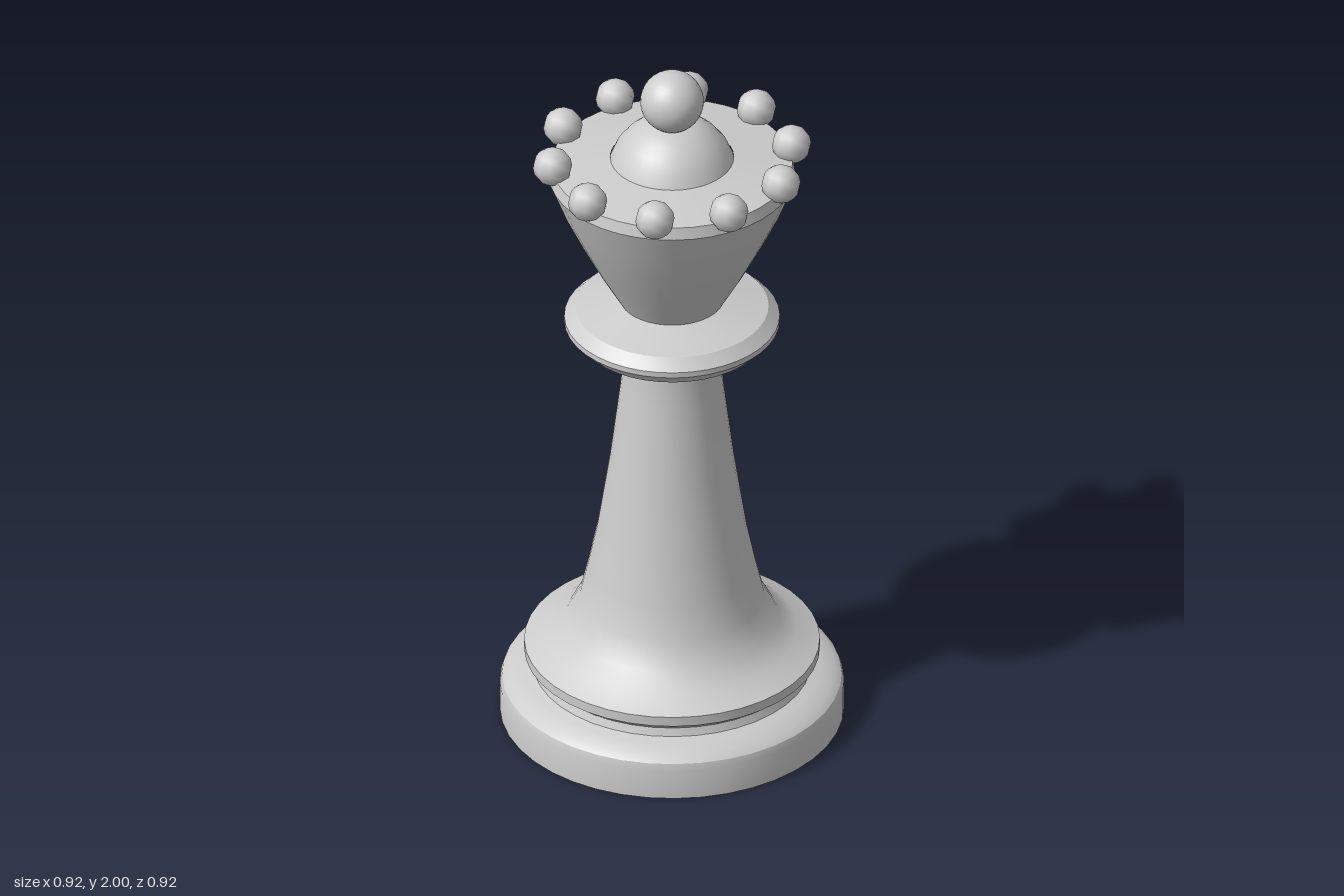
import * as THREE from 'three';
import { toCreasedNormals } from 'three/addons/utils/BufferGeometryUtils.js';

export function createModel() {
  const model = new THREE.Group();
  model.name = 'chessQueen';

  const stone = new THREE.MeshStandardMaterial({ color: 0xcccccc });
  stone.name = 'grey';

  // Turned part from [radius, height] pairs, listed bottom to top
  function turned(name, profile) {
    const points = profile.map(([r, y]) => new THREE.Vector2(r, y));
    const geometry = toCreasedNormals(new THREE.LatheGeometry(points, 40), 0.5);
    const mesh = new THREE.Mesh(geometry, stone);
    mesh.name = name;
    model.add(mesh);
  }

  function ball(name, radius, x, y, z, sides, rings) {
    const mesh = new THREE.Mesh(new THREE.SphereGeometry(radius, sides, rings), stone);
    mesh.name = name;
    mesh.position.set(x, y, z);
    model.add(mesh);
  }

  // Foot with a rounded shoulder, up to the narrow groove
  turned('base', [
    [0, 0], [0.46, 0], [0.46, 0.085], [0.454, 0.105], [0.435, 0.122], [0.395, 0.133],
    [0.372, 0.14], [0.364, 0.162],
  ]);

  // Lower ring flaring into the tapering stem
  turned('stem', [
    [0.364, 0.162], [0.395, 0.187], [0.395, 0.215], [0.335, 0.245], [0.285, 0.285], [0.246, 0.36],
    [0.225, 0.45], [0.2, 0.57], [0.165, 0.8], [0.138, 1.02], [0.13, 1.1], [0.13, 1.165],
  ]);

  turned('collar', [
    [0.13, 1.16], [0.255, 1.187], [0.288, 1.222], [0.288, 1.238], [0.258, 1.268], [0.14, 1.295],
  ]);

  // Flared crown with a bevelled rim and a shallow sloping top
  turned('crown', [
    [0.14, 1.295], [0.195, 1.392], [0.25, 1.5], [0.295, 1.595], [0.33, 1.685],
    [0.322, 1.718], [0.165, 1.738],
  ]);

  turned('dome', [
    [0.165, 1.735], [0.15, 1.77], [0.125, 1.802], [0.1, 1.824], [0.07, 1.842], [0, 1.852],
  ]);

  ball('finial', 0.085, 0, 1.915, 0, 32, 20);

  // Ring of pearls around the rim
  for (let i = 0; i < 10; i++) {
    const a = (i * Math.PI) / 5;
    ball('pearl', 0.053, 0.324 * Math.cos(a), 1.744, 0.324 * Math.sin(a), 10, 8);
  }

  return model;
}
